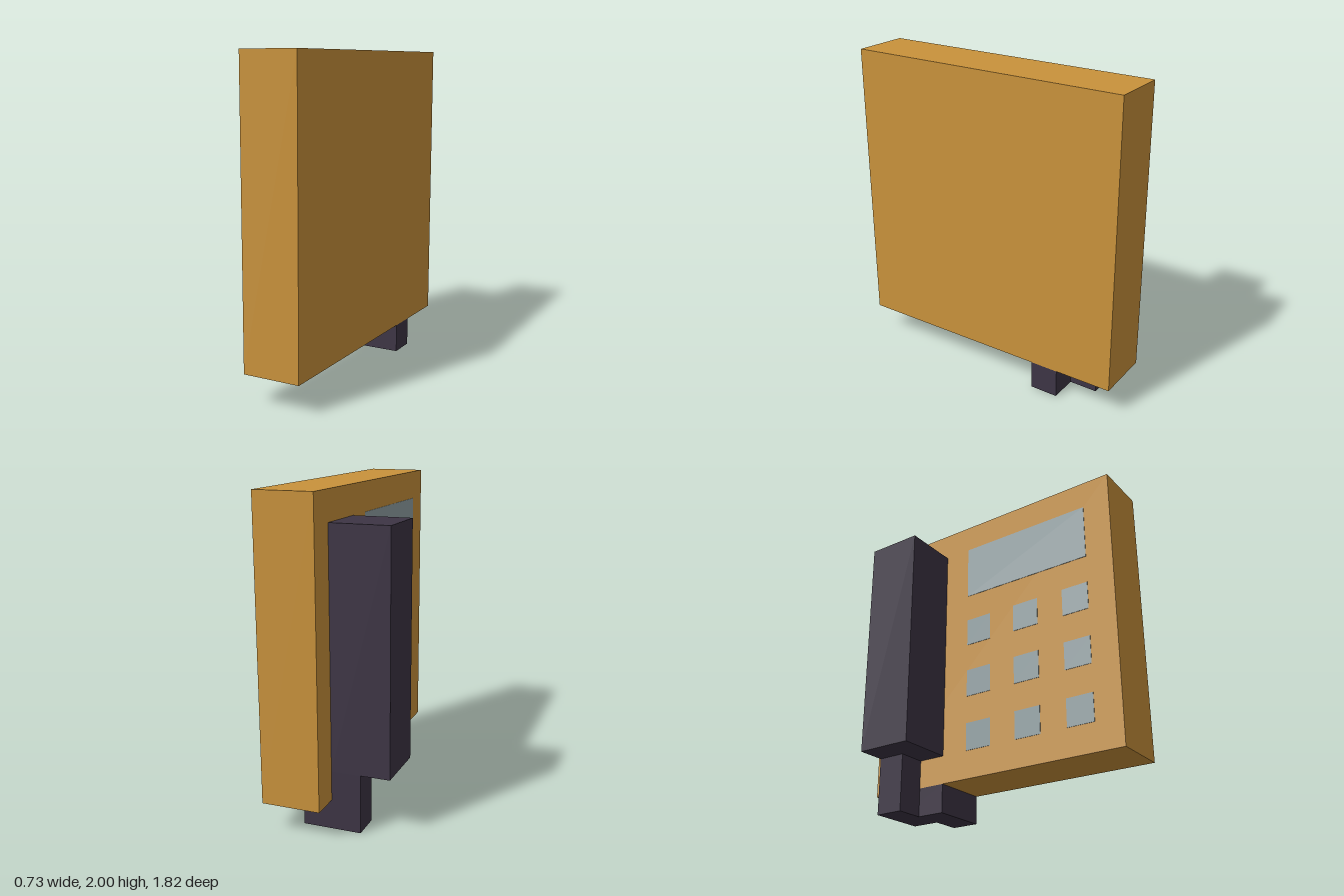
import * as THREE from 'three';

const U = 2 / 11; // one block of the model

const material = (name, color) => {
  const m = new THREE.MeshStandardMaterial({ color });
  m.name = name;
  return m;
};

export function createModel() {
  const orange = material('amber casing', 0xc9923b);
  const dark = material('dark plum plastic', 0x3d3545);
  const grey = material('grey glass', 0x92a1a4);

  // Box from its lower and upper corners, in blocks
  const block = (name, mat, [x0, y0, z0], [x1, y1, z1]) => {
    const geometry = new THREE.BoxGeometry((x1 - x0) * U, (y1 - y0) * U, (z1 - z0) * U);
    const mesh = new THREE.Mesh(geometry, mat);
    mesh.name = name;
    mesh.position.set((x0 + x1) / 2 * U, (y0 + y1) / 2 * U, (z0 + z1) / 2 * U);
    return mesh;
  };

  const model = new THREE.Group();
  model.name = 'wallTelephone';

  // Main casing and the handset hanging on its side
  model.add(block('casing', orange, [0, 1, -5], [2, 11, 5]));
  model.add(block('handset', dark, [-2, 2, -4], [0, 10, -2]));

  // Cord stepping down from the handset and under the casing
  const cord = new THREE.Group();
  cord.name = 'cord';
  cord.add(
    block('cordDrop', dark, [-1, 0, -4], [0, 2, -3]),
    block('cordMiddle', dark, [0, 0, -4], [1, 1, -2]),
    block('cordEnd', dark, [1, 0, -3], [2, 1, -2])
  );
  model.add(cord);

  // Thin display and keypad plates on the handset side
  const T = 0.015;
  model.add(block('display', grey, [-T, 8, -1], [0, 10, 4]));
  const keypad = new THREE.Group();
  keypad.name = 'keypad';
  for (const y of [2, 4, 6]) {
    for (const z of [-1, 1, 3]) {
      keypad.add(block('key', grey, [-T, y, z], [0, y + 1, z + 1]));
    }
  }
  model.add(keypad);

  return model;
}
